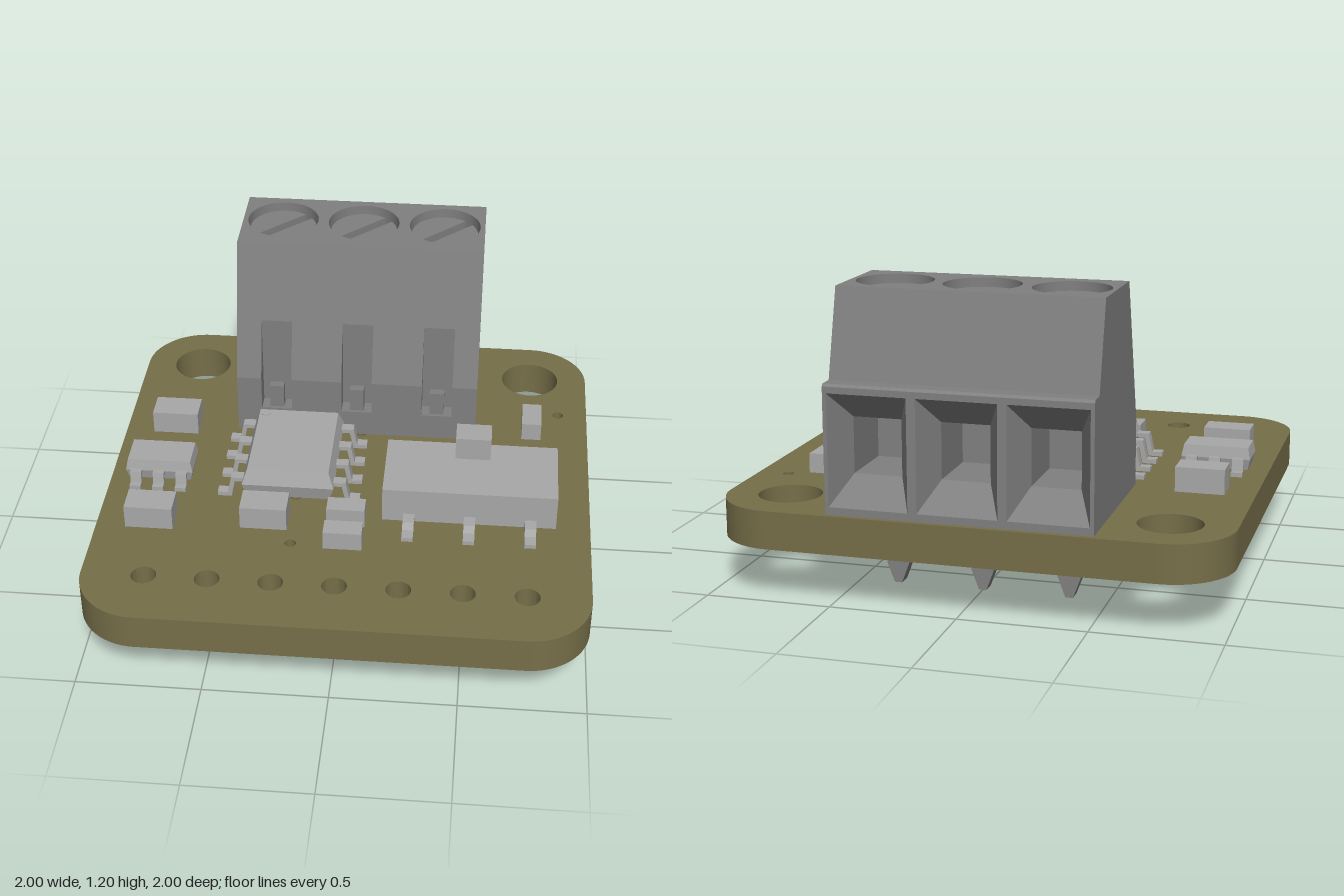
import * as THREE from 'three';
import { toCreasedNormals } from 'three/addons/utils/BufferGeometryUtils.js';

const mat = (name, color, extra = {}) => Object.assign(new THREE.MeshStandardMaterial({ color, ...extra }), { name });
const TOP = 0.355; // upper face of the board

export function createModel() {
  const boardMat = mat('olive board', 0x766e49);
  const housingMat = mat('mid grey housing', 0x808080, { side: THREE.DoubleSide });
  const chipMat = mat('light grey components', 0xa8a8a8);
  const model = new THREE.Group();
  model.name = 'terminalBoard';

  const group = (name) => {
    const g = new THREE.Group();
    g.name = name;
    model.add(g);
    return g;
  };
  const add = (parent, name, geo, material, x = 0, y = 0, z = 0) => {
    const m = new THREE.Mesh(geo, material);
    m.name = name;
    m.position.set(x, y, z);
    parent.add(m);
    return m;
  };
  const poly = (pts) => new THREE.Shape(pts.map((p) => new THREE.Vector2(...p)));
  const extrude = (shape, depth, curveSegments = 12) =>
    new THREE.ExtrudeGeometry(shape, { depth, bevelEnabled: false, curveSegments });
  // plan drawn as (x, z); its upper face ends at y = 0
  const plan = (shape, depth, seg) => toCreasedNormals(extrude(shape, depth, seg).rotateX(Math.PI / 2), 0.6);
  // profile drawn as (z, y), spanning x0..x1
  const sideProfile = (pts, x0, x1) => extrude(poly(pts), x1 - x0).rotateY(-Math.PI / 2).translate(x1, 0, 0);
  const punch = (shape, x, z, r) => shape.holes.push(new THREE.Path().absarc(x, z, r, 0, Math.PI * 2, true));

  // Skin four-cornered rings, optionally closing both ends
  const loft = (rings, capped) => {
    const idx = [];
    for (let k = 0; k < rings.length - 1; k++)
      for (let i = 0; i < 4; i++) {
        const a = k * 4 + i, b = k * 4 + ((i + 1) % 4);
        idx.push(a, b, b + 4, a, b + 4, a + 4);
      }
    const t = (rings.length - 1) * 4;
    if (capped) idx.push(0, 2, 1, 0, 3, 2, t, t + 1, t + 2, t, t + 2, t + 3);
    const g = new THREE.BufferGeometry();
    g.setAttribute('position', new THREE.Float32BufferAttribute(rings.flat(2), 3));
    g.setIndex(idx);
    const flat = g.toNonIndexed();
    flat.computeVertexNormals();
    return flat;
  };
  const ringXZ = (w, d, y) => [[-w / 2, y, d / 2], [w / 2, y, d / 2], [w / 2, y, -d / 2], [-w / 2, y, -d / 2]];

  // Circuit board with rounded corners and drilled holes
  const R = 0.25;
  const outline = new THREE.Shape();
  outline.absarc(1 - R, 1 - R, R, 0, Math.PI / 2);
  outline.absarc(R - 1, 1 - R, R, Math.PI / 2, Math.PI);
  outline.absarc(R - 1, R - 1, R, Math.PI, Math.PI * 1.5);
  outline.absarc(1 - R, R - 1, R, Math.PI * 1.5, Math.PI * 2);
  for (const x of [-0.75, 0.75]) punch(outline, x, -0.75, 0.125);
  for (let i = -3; i <= 3; i++) punch(outline, i * 0.25, 0.75, 0.05);
  for (const x of [0.35, 0.67]) punch(outline, x, 0.155, 0.045);
  for (const [x, z] of [[0.875, -0.48], [0.585, 0.23], [0.217, 0.22], [0.02, -0.27], [-0.313, -0.13], [-0.21, 0.2], [-0.2, 0.505]])
    punch(outline, x, z, 0.023);
  add(model, 'board', plan(outline, 0.15, 20), boardMat, 0, TOP, 0);

  // Screw terminal housing, made of slices across x
  const terminal = group('screwTerminal');
  const cells = [-0.345, 0, 0.345];
  const H = 0.155, S = 0.065, SHELF = 1.12;
  const slice = (x0, x1, rearOpen, frontSlot) => {
    const front = frontSlot ? [[-0.265, 0.47], [-0.337, 0.47], [-0.337, 0.87]] : [[-0.265, 0.62]];
    const rear = rearOpen ? [[-0.98, 0.82], [-0.6, 0.82], [-0.6, 0.385], [-0.98, 0.385]] : [];
    const pts = [[-0.265, TOP], ...front, [-0.4085, SHELF], [-0.84, SHELF], [-0.91, 0.855],
      [-0.97, 0.855], [-0.98, 0.845], ...rear, [-0.98, TOP]];
    add(terminal, 'housingSlice', sideProfile(pts, x0, x1), housingMat);
  };
  for (const [a, b] of [[-0.515, -0.5], [-0.19, -0.155], [0.155, 0.19], [0.5, 0.515]]) slice(a, b, false, false);

  // Housing top with three screw wells, its lower edge flared to meet the slopes
  const lid = poly([[-0.515, -0.82], [0.515, -0.82], [0.515, -0.43], [-0.515, -0.43]]);
  cells.forEach((c) => punch(lid, c, -0.635, 0.15));
  let lidGeo = extrude(lid, 0.075, 24).rotateX(Math.PI / 2);
  const p = lidGeo.attributes.position;
  for (let i = 0; i < p.count; i++) {
    if (p.getY(i) > -0.04) continue;
    if (p.getZ(i) > -0.432) p.setZ(i, -0.4085);
    if (p.getZ(i) < -0.818) p.setZ(i, -0.84);
  }
  lidGeo.computeVertexNormals();
  lidGeo = toCreasedNormals(lidGeo, 0.5);
  add(terminal, 'housingTop', lidGeo, housingMat, 0, 1.195, 0);

  const rectXY = (c, hw, y0, y1, z) => [[c - hw, y0, z], [c + hw, y0, z], [c + hw, y1, z], [c - hw, y1, z]];
  const slotAngle = Math.asin(0.022 / 0.14);
  for (const c of cells) {
    slice(c - H, c - S, true, false);
    slice(c - S, c + S, true, true);
    slice(c + S, c + H, true, false);
    // Wire funnel and tunnel
    add(terminal, 'wireFunnel', loft([
      rectXY(c, H, 0.385, 0.82, -0.98), rectXY(c, 0.095, 0.49, 0.71, -0.86), rectXY(c, 0.095, 0.49, 0.71, -0.6),
    ], false), housingMat);
    // Slotted screw head as two half discs
    for (const turn of [0, Math.PI]) {
      const half = new THREE.Shape().absarc(0, 0, 0.14, slotAngle, Math.PI - slotAngle);
      add(terminal, 'screwHead', plan(half, 0.04, 20), housingMat, c, 1.16, -0.635).rotation.y = Math.PI / 4 + turn;
    }
    // Test contact in the front slot
    add(terminal, 'contactTab', new THREE.BoxGeometry(0.06, 0.105, 0.035), housingMat, c, 0.5225, -0.297);
    // Tapered solder pin
    add(terminal, 'solderPin', extrude(poly([[-0.015, 0], [0.015, 0], [0.045, 0.08], [0.045, TOP], [-0.045, TOP], [-0.045, 0.08]]), 0.06),
      housingMat, c, 0, -0.66);
  }

  // Bent lead, pointing along +x before it is turned
  const lead = (parent, x, z, turn, width, reach, h) => {
    const t = 0.018, r = reach;
    const g = extrude(poly([[-0.01, h - t], [r * 0.3, h - t], [r * 0.45, 0], [r, 0], [r, t], [r * 0.6, t], [r * 0.45, h], [-0.01, h]]), width);
    g.translate(0, 0, -width / 2);
    add(parent, 'lead', g, chipMat, x, TOP + 0.002, z).rotation.y = turn;
  };

  // Eight-lead chip
  const amp = group('eightLeadChip');
  add(amp, 'chipBody', loft([ringXZ(0.34, 0.44, 0.375), ringXZ(0.38, 0.475, 0.44), ringXZ(0.335, 0.43, 0.505)], true),
    chipMat, -0.24, 0, 0.0125);
  add(amp, 'pinOneMark', new THREE.CylinderGeometry(0.02, 0.02, 0.004, 20), chipMat, -0.38, 0.506, -0.175);
  for (const z of [-0.177, -0.051, 0.075, 0.201]) {
    lead(amp, -0.43, z, Math.PI, 0.042, 0.105, 0.095);
    lead(amp, -0.05, z, 0, 0.042, 0.105, 0.095);
  }

  // Six-lead chip
  const small = group('sixLeadChip');
  add(small, 'chipBody', loft([ringXZ(0.26, 0.135, 0.37), ringXZ(0.28, 0.158, 0.415), ringXZ(0.262, 0.14, 0.463)], true),
    chipMat, -0.79, 0, 0.077);
  for (const x of [-0.885, -0.79, -0.695]) {
    lead(small, x, 0.153, -Math.PI / 2, 0.046, 0.06, 0.065);
    lead(small, x, 0, Math.PI / 2, 0.046, 0.06, 0.065);
  }

  // Slide switch
  const sw = group('slideSwitch');
  add(sw, 'switchBody', new THREE.BoxGeometry(0.705, 0.152, 0.345), chipMat, 0.508, 0.439, 0.158);
  add(sw, 'switchKnob', new THREE.BoxGeometry(0.145, 0.1, 0.108), chipMat, 0.512, 0.565, 0.04);
  for (const x of [0.265, 0.511, 0.757]) {
    lead(sw, x, 0.33, -Math.PI / 2, 0.046, 0.127, 0.042);
    lead(sw, x, -0.014, Math.PI / 2, 0.046, 0.127, 0.042);
  }

  // Plain resistors and capacitors: x, z, width, depth, height
  const passives = group('passives');
  for (const [x, z, w, d, h] of [
    [-0.782, -0.265, 0.195, 0.12, 0.1], [-0.782, 0.398, 0.195, 0.12, 0.1], [-0.32, 0.364, 0.19, 0.12, 0.1],
    [0.01, 0.335, 0.155, 0.082, 0.08], [0.01, 0.485, 0.155, 0.082, 0.08], [0.757, -0.364, 0.083, 0.153, 0.08],
  ]) add(passives, 'passiveBlock', new THREE.BoxGeometry(w, h, d), chipMat, x, TOP + h / 2, z);

  return model;
}
